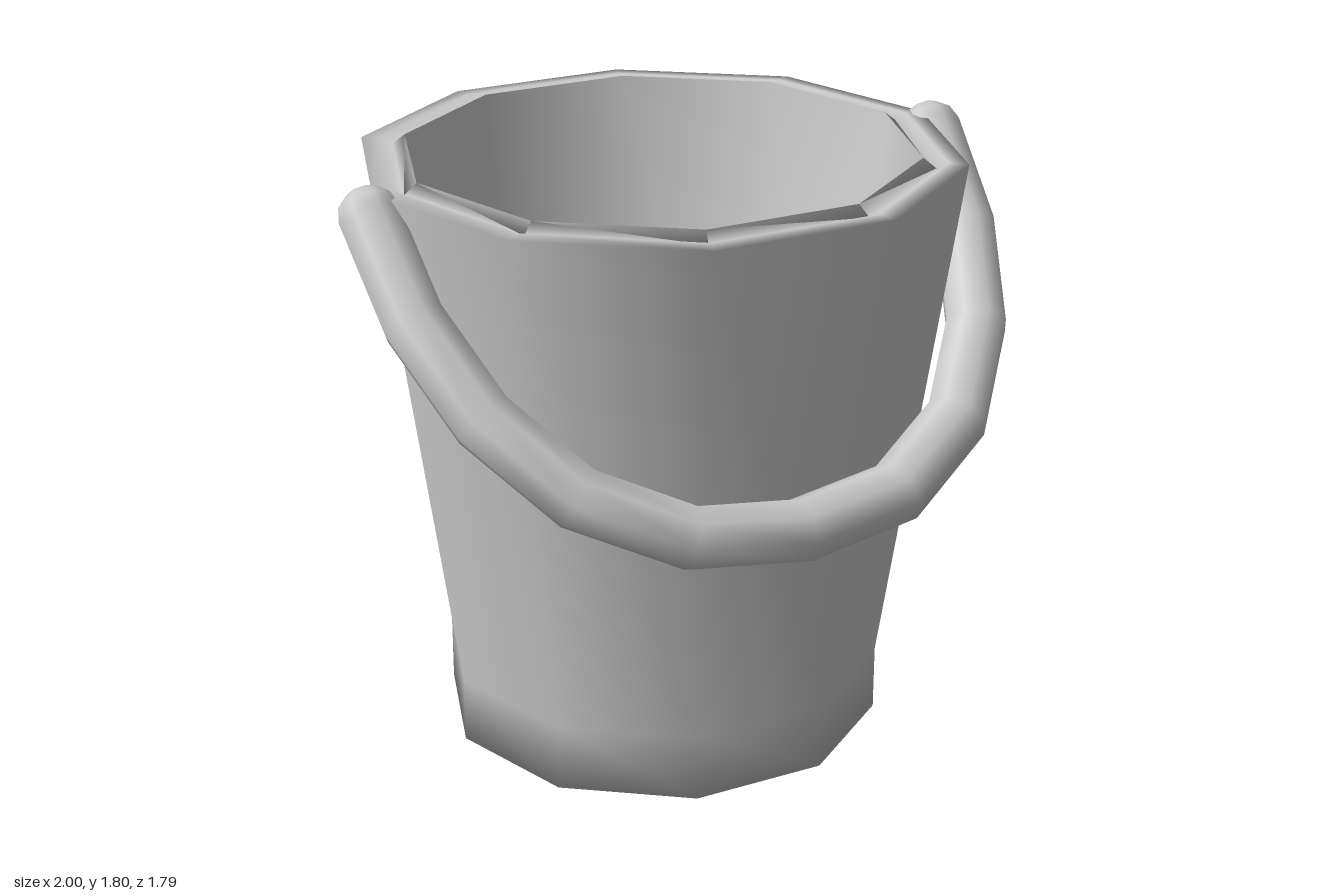
import * as THREE from 'three';
import { mergeVertices } from 'three/addons/utils/BufferGeometryUtils.js';

const material = new THREE.MeshStandardMaterial({ color: 0xcccccc });

function addMesh(parent, name, geometry) {
  const mesh = new THREE.Mesh(geometry, material);
  mesh.name = name;
  parent.add(mesh);
  return mesh;
}

// Lathe with shared vertices, so the normals run smoothly over the whole surface
function smoothLathe(profile, sides, start) {
  const points = profile.map(([r, y]) => new THREE.Vector2(r, y));
  const lathe = new THREE.LatheGeometry(points, sides, start);
  lathe.deleteAttribute('normal');
  lathe.deleteAttribute('uv');
  const merged = mergeVertices(lathe);
  merged.computeVertexNormals();
  return merged;
}

export function createModel() {
  const model = new THREE.Group();
  model.name = 'bucket';

  // Ten-sided body: underside, straight foot, flared wall, grooved rim, inner wall, floor
  const body = addMesh(model, 'body', smoothLathe([
    [0, 0], [0.667, 0], [0.667, 0.2], [0.888, 1.765], [0.83, 1.768],
    [0.795, 1.75], [0.757, 1.78], [0.57, 0.12], [0, 0.12],
  ], 10, Math.PI / 2));
  body.position.z = -0.047;

  // Carrying handle, tilted forward and resting over the front
  const handle = new THREE.Group();
  handle.name = 'handle';
  model.add(handle);
  const radius = 0.093;
  const half = [[0.907, 1.708], [0.885, 1.48], [0.785, 1.255], [0.605, 1.07], [0.345, 0.95]];
  const onPlane = (x, y) => new THREE.Vector3(x, y, -0.018 + (1.708 - y) * 1.03);
  const path = [
    ...half.map(([x, y]) => onPlane(-x, y)),
    onPlane(0, 0.912),
    ...half.map(([x, y]) => onPlane(x, y)).reverse(),
  ];
  const curve = new THREE.CatmullRomCurve3(path);
  addMesh(handle, 'handleBar', new THREE.TubeGeometry(curve, 10, radius, 8, false));

  // Rounded handle ends
  for (const side of [-1, 1]) {
    const end = addMesh(handle, side > 0 ? 'leftHandleEnd' : 'rightHandleEnd',
      new THREE.SphereGeometry(radius, 8, 6));
    end.position.copy(onPlane(side * half[0][0], half[0][1]));
    end.rotation.x = -Math.PI / 4;
  }
  return model;
}
